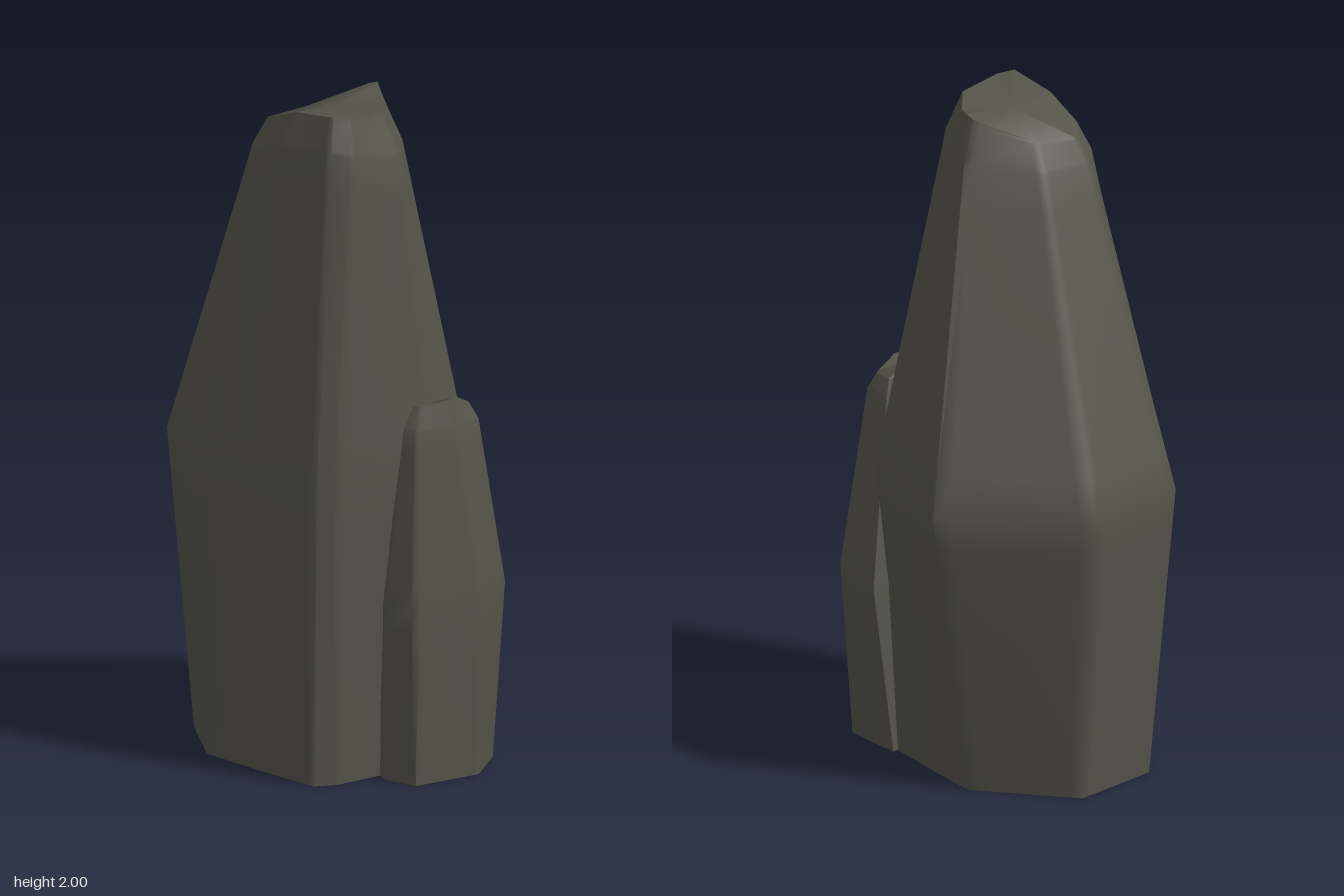
import * as THREE from 'three';
import { toCreasedNormals } from 'three/addons/utils/BufferGeometryUtils.js';

// Adds support points beside each entry so edges shade softly while faces stay flat
function soften(list, mix, closed, t) {
  const out = [];
  const n = list.length;
  for (let i = 0; i < n; i++) {
    out.push(list[i]);
    if (i === n - 1 && !closed) break;
    const next = list[(i + 1) % n];
    out.push(mix(list[i], next, t), mix(list[i], next, 1 - t));
  }
  return out;
}

const mixPoint = (a, b, t) => a.clone().lerp(b, t);
const mixLoop = (a, b, t) => a.map((p, i) => mixPoint(p, b[i], t));
const loop = (points) => points.map(([x, y, z]) => new THREE.Vector3(x, y, z));
const flatLoop = (y, points) => loop(points.map(([x, z]) => [x, y, z]));

// Skins a stack of loops (base to crown) and closes both ends
function buildRock(name, levels, material) {
  const rings = soften(levels.map((l) => soften(l, mixPoint, true, 0.1)), mixLoop, false, 0.12);
  const n = rings[0].length;
  const points = rings.flat();
  const index = [];
  for (let r = 0; r < rings.length - 1; r++) {
    for (let i = 0; i < n; i++) {
      const a = r * n + i, b = r * n + (i + 1) % n;
      index.push(a, b, b + n, a, b + n, a + n);
    }
  }
  const addCap = (start, up) => {
    const centre = new THREE.Vector3();
    for (let i = 0; i < n; i++) centre.addScaledVector(points[start + i], 1 / n);
    const c = points.push(centre) - 1;
    for (let i = 0; i < n; i++) {
      const a = start + i, b = start + (i + 1) % n;
      index.push(c, up ? a : b, up ? b : a);
    }
  };
  addCap(0, false);
  addCap((rings.length - 1) * n, true);
  const geometry = new THREE.BufferGeometry().setFromPoints(points);
  geometry.setIndex(index);
  const mesh = new THREE.Mesh(toCreasedNormals(geometry, 1.1), material);
  mesh.name = name;
  return mesh;
}

export function createModel() {
  const stone = new THREE.MeshStandardMaterial({ color: 0x55544a });
  stone.name = 'dark stone';
  const group = new THREE.Group();
  group.name = 'standingRocks';

  // Tall rock: base, widest belt, shoulder, slanted crown
  group.add(buildRock('tallRock', [
    flatLoop(0, [[-0.42, -0.08], [-0.41, 0.2], [-0.2, 0.36], [0.03, 0.37], [0.24, 0.37],
      [0.28, 0.31], [0.33, 0], [0.22, -0.2], [0.03, -0.24], [-0.14, -0.27]]),
    flatLoop(0.9, [[-0.52, -0.12], [-0.49, 0.23], [-0.2, 0.437], [0.03, 0.39], [0.25, 0.37],
      [0.29, 0.33], [0.39, 0], [0.28, -0.23], [0.03, -0.36], [-0.17, -0.44]]),
    loop([[-0.15, 1.84, 0.03], [-0.17, 1.83, 0.2], [-0.1, 1.84, 0.27], [0.03, 1.88, 0.29],
      [0.23, 1.9, 0.29], [0.27, 1.88, 0.24], [0.29, 1.85, 0.06], [0.19, 1.86, -0.05],
      [0.07, 1.9, -0.1], [0.02, 1.86, -0.13]]),
    loop([[-0.1, 1.92, 0.05], [-0.13, 1.91, 0.18], [-0.08, 1.93, 0.23], [0.05, 1.98, 0.25],
      [0.21, 2, 0.26], [0.24, 1.99, 0.22], [0.23, 1.98, 0.07], [0.13, 1.98, -0.03],
      [0.06, 2, -0.08], [0.03, 1.99, -0.08]]),
  ], stone));

  // Small rock leaning against the left side
  group.add(buildRock('smallRock', [
    flatLoop(0, [[0.28, 0.15], [0.35, 0.18], [0.45, 0.16], [0.5, -0.05], [0.41, -0.2], [0.22, -0.22]]),
    flatLoop(0.53, [[0.3, 0.15], [0.36, 0.195], [0.45, 0.17], [0.515, -0.055], [0.43, -0.23], [0.22, -0.3]]),
    loop([[0.35, 1.05, 0.1], [0.38, 1.06, 0.14], [0.42, 1.06, 0.13], [0.455, 1.05, 0],
      [0.43, 1.05, -0.12], [0.33, 1.05, -0.14]]),
    loop([[0.35, 1.11, 0.07], [0.39, 1.13, 0.11], [0.41, 1.13, 0.1], [0.44, 1.12, 0],
      [0.41, 1.1, -0.1], [0.35, 1.1, -0.11]]),
  ], stone));

  return group;
}
